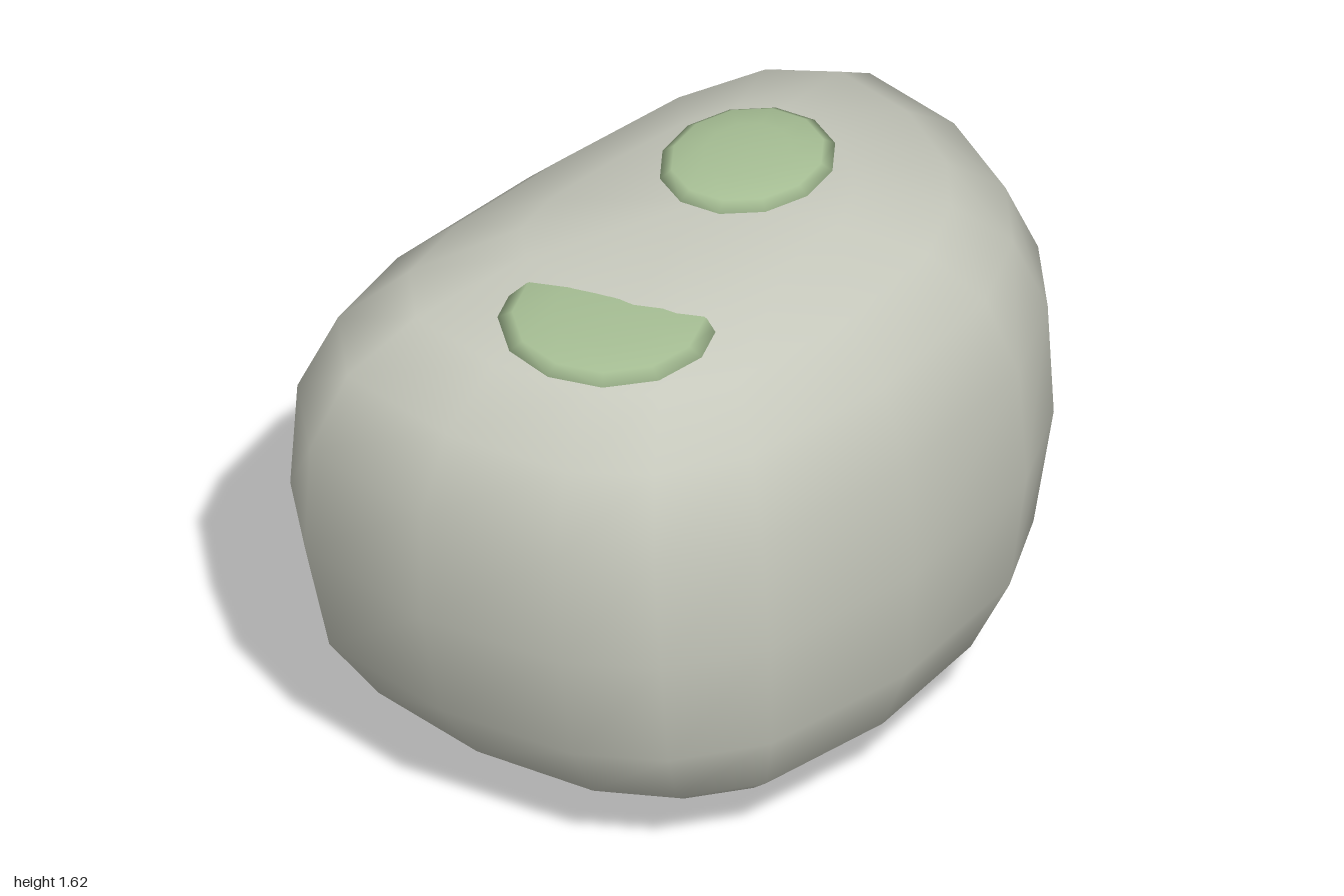
import * as THREE from 'three';

// Plan outline of the boulder at its widest, [x, z], counter-clockwise from the front
const OUTLINE = [
  [0, 0.73], [0.48, 0.65], [0.73, 0.50], [0.89, 0.30], [1, -0.03], [1, -0.38], [0.83, -0.59], [0.51, -0.70],
  [0, -0.74], [-0.52, -0.74], [-0.83, -0.66], [-1, -0.44], [-1, -0.03], [-0.89, 0.35], [-0.73, 0.55], [-0.48, 0.69],
];
// Horizontal rings: [height, x scale, z scale]
const RINGS = [
  [0.03, 0.38, 0.42], [0.12, 0.62, 0.67], [0.25, 0.80, 0.85], [0.45, 0.93, 0.96], [0.78, 1, 1],
  [1.10, 1, 0.96], [1.31, 0.91, 0.85], [1.44, 0.74, 0.67], [1.53, 0.45, 0.42],
];
const AXIS_Z = -0.03;

// Closed skin over the rings, with a single vertex at each pole
function boulderGeometry() {
  const n = OUTLINE.length;
  const positions = [0, 0.005, AXIS_Z];
  for (const [y, sx, sz] of RINGS) {
    for (const [x, z] of OUTLINE) positions.push(x * sx, y, AXIS_Z + (z - AXIS_Z) * sz);
  }
  positions.push(0, 1.555, AXIS_Z);
  const top = positions.length / 3 - 1;
  const at = (ring, i) => 1 + ring * n + (i % n);
  const last = RINGS.length - 1;
  const index = [];
  for (let i = 0; i < n; i++) {
    index.push(0, at(0, i + 1), at(0, i));
    for (let r = 0; r < last; r++) {
      index.push(at(r, i), at(r, i + 1), at(r + 1, i + 1), at(r, i), at(r + 1, i + 1), at(r + 1, i));
    }
    index.push(at(last, i), at(last, i + 1), top);
  }
  const geometry = new THREE.BufferGeometry();
  geometry.setAttribute('position', new THREE.Float32BufferAttribute(positions, 3));
  geometry.setIndex(index);
  geometry.computeVertexNormals();
  return geometry;
}

export function createModel() {
  const model = new THREE.Group();
  model.name = 'mossyBoulder';

  const boulder = new THREE.Mesh(boulderGeometry(), new THREE.MeshStandardMaterial({ color: 0xc6c8bc }));
  boulder.name = 'boulder';
  model.add(boulder);

  // Flattened moss cushions resting on and sunk into the crown
  const mossMaterial = new THREE.MeshStandardMaterial({ color: 0xa6be94 });
  const patches = [
    { name: 'mossPatchLeft', centre: [0.18, 1.58, -0.04], radii: [0.24, 0.04, 0.21], turn: 0 },
    { name: 'mossPatchRight', centre: [-0.46, 1.495, 0.10], radii: [0.28, 0.037, 0.28], turn: 0.2 },
  ];
  for (const { name, centre, radii, turn } of patches) {
    const moss = new THREE.Mesh(new THREE.SphereGeometry(1, 12, 6), mossMaterial);
    moss.name = name;
    moss.scale.set(...radii);
    moss.rotation.y = turn;
    moss.position.set(...centre);
    model.add(moss);
  }
  return model;
}
